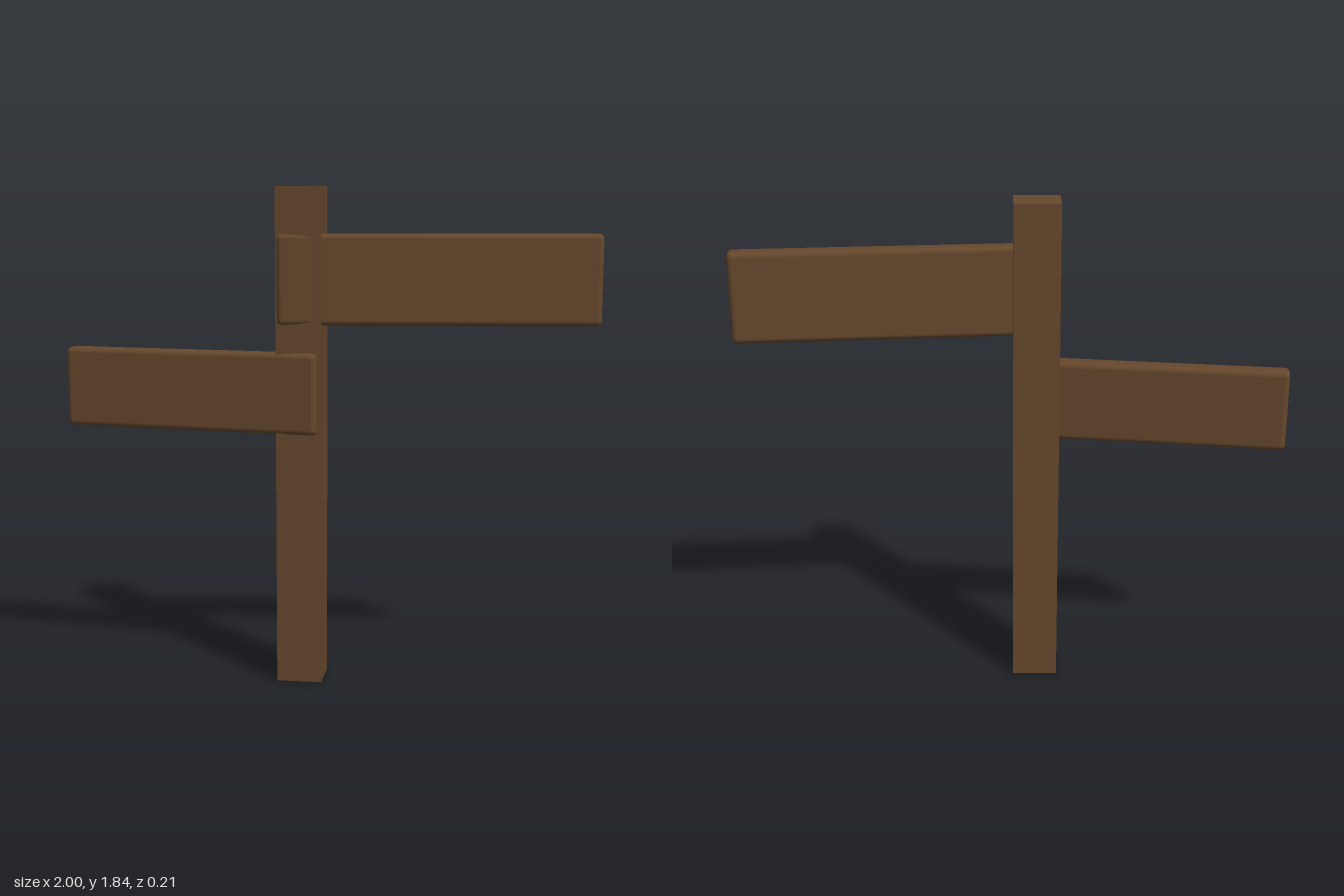
import * as THREE from 'three';
import { RoundedBoxGeometry } from 'three/addons/geometries/RoundedBoxGeometry.js';

export function createModel() {
  const group = new THREE.Group();
  const wood = new THREE.MeshStandardMaterial({ color: 0x65472c });

  function add(name, geometry, x, y, z, turn = 0) {
    const mesh = new THREE.Mesh(geometry, wood);
    mesh.name = name;
    mesh.position.set(x, y, z);
    mesh.rotation.y = THREE.MathUtils.degToRad(turn);
    group.add(mesh);
  }

  // Square upright post
  add('post', new THREE.BoxGeometry(0.167, 1.838, 0.167), -0.0855, 0.919, -0.002);

  // Two softened boards, each turned slightly backwards at its free end
  const board = (length, height) => new RoundedBoxGeometry(length, height, 0.077, 3, 0.02);
  add('upperBoard', board(1.17, 0.33), 0.415, 1.505, -0.001, 5.6);
  add('lowerBoard', board(0.99, 0.3), -0.505, 1.09, -0.003, -8.4);

  return group;
}
